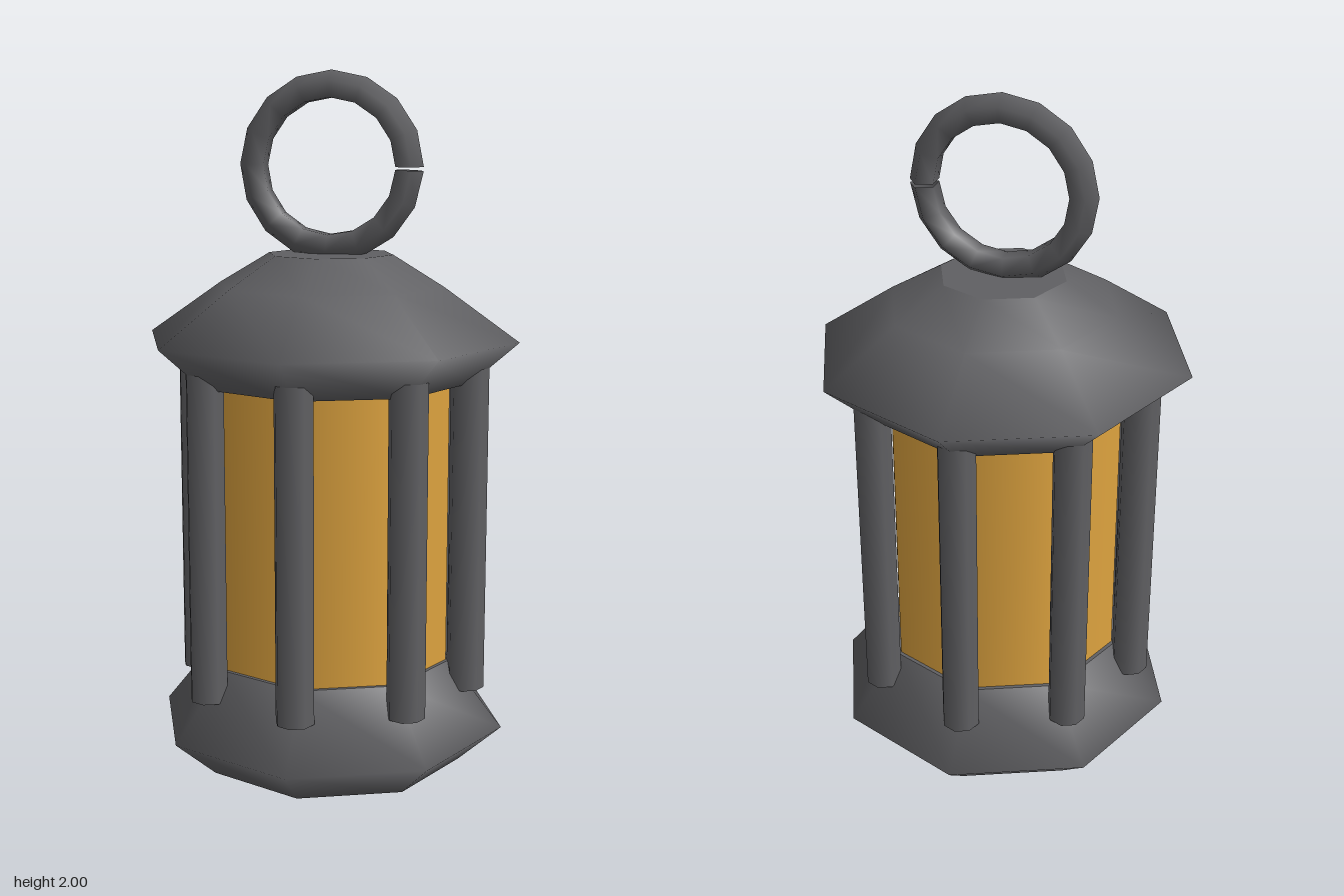
import * as THREE from 'three';

const SIDES = 8;

function add(parent, name, geometry, material) {
  const mesh = new THREE.Mesh(geometry, material);
  mesh.name = name;
  parent.add(mesh);
  return mesh;
}

// Eight-sided turned body, softly shaded, closed with flat caps
function turnedBody(name, profile, material) {
  const group = new THREE.Group();
  group.name = name;
  const points = profile.map(([r, y]) => new THREE.Vector2(r, y));
  add(group, name + 'Shell', new THREE.LatheGeometry(points, SIDES), material);
  const [r0, y0] = profile[0];
  const [r1, y1] = profile[profile.length - 1];
  const bottom = new THREE.CircleGeometry(r0, SIDES).rotateX(Math.PI / 2).translate(0, y0, 0);
  const top = new THREE.CircleGeometry(r1, SIDES).rotateX(-Math.PI / 2).translate(0, y1, 0);
  add(group, name + 'Underside', bottom, material);
  add(group, name + 'Top', top, material);
  return group;
}

export function createModel() {
  const metal = new THREE.MeshStandardMaterial({ color: 0x606063 });
  metal.name = 'dark metal';
  const ringMetal = metal;
  ringMetal.side = THREE.DoubleSide;
  const amber = new THREE.MeshStandardMaterial({ color: 0xe0a540 });
  amber.name = 'amber glass';

  const lantern = new THREE.Group();
  lantern.name = 'lantern';

  // Base and roof
  lantern.add(turnedBody('base', [[0.39, 0], [0.515, 0.11], [0.36, 0.305]], metal));
  lantern.add(turnedBody('roof', [[0.41, 1.13], [0.545, 1.25], [0.33, 1.4], [0.182, 1.488]], metal));

  // Glass body
  add(lantern, 'glass', new THREE.CylinderGeometry(0.348, 0.348, 0.9, SIDES), amber).position.y = 0.715;

  // Posts, one at each corner
  const posts = new THREE.Group();
  posts.name = 'posts';
  lantern.add(posts);
  const postGeometry = new THREE.CylinderGeometry(0.055, 0.055, 0.97, 8);
  for (let i = 0; i < SIDES; i++) {
    const a = (i / SIDES) * Math.PI * 2;
    const post = add(posts, 'post', postGeometry, metal);
    post.position.set(Math.sin(a) * 0.406, 0.715, Math.cos(a) * 0.406);
    post.rotation.y = a;
  }

  // Carrying ring with a hairline split on its left side
  const ring = new THREE.TorusGeometry(0.225, 0.042, 5, 16, Math.PI * 2 - 0.04);
  add(lantern, 'carryingRing', ring, ringMetal).position.y = 1.733;

  return lantern;
}
